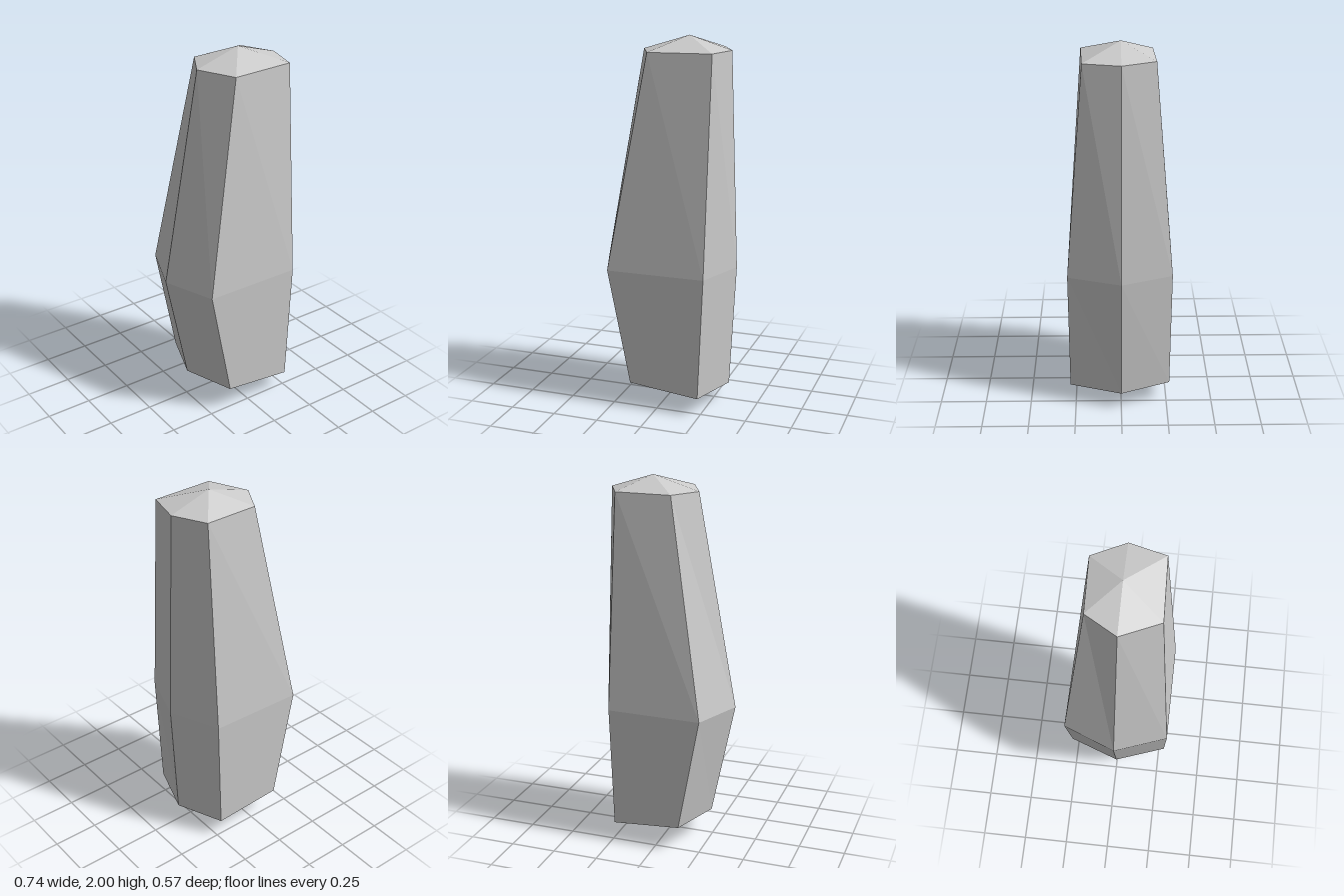
import * as THREE from 'three';

// Six-sided rings, from the left (+x) corner round the front to the back
const bottomRing = [[0.335, 0.097, 0], [0.24, 0.1, 0.28], [-0.143, 0.142, 0.28],
  [-0.243, 0.145, 0], [-0.14, 0.142, -0.28], [0.235, 0.108, -0.267]];
const middleRing = [[0.37, 0.77, 0], [0.27, 0.77, 0.286], [-0.266, 0.77, 0.286],
  [-0.37, 0.77, 0], [-0.256, 0.77, -0.288], [0.257, 0.77, -0.274]];
const topRing = [[0.328, 1.928, 0], [0.28, 1.928, 0.195], [-0.063, 1.925, 0.207],
  [-0.155, 1.923, 0], [-0.058, 1.925, -0.168], [0.24, 1.928, -0.177]];
const bottomTip = [0.037, 0, 0];
const topTip = [0.097, 2, 0];

export function createModel() {
  const positions = [];
  const triangle = (a, b, c) => positions.push(...a, ...b, ...c);

  for (let i = 0; i < 6; i++) {
    const j = (i + 1) % 6;
    // Pointed ends
    triangle(bottomTip, bottomRing[i], bottomRing[j]);
    triangle(topRing[i], topTip, topRing[j]);
    // Long side facets, swelling at the middle ring
    for (const [low, high] of [[bottomRing, middleRing], [middleRing, topRing]]) {
      triangle(low[i], high[i], high[j]);
      triangle(low[i], high[j], low[j]);
    }
  }

  const geometry = new THREE.BufferGeometry();
  geometry.setAttribute('position', new THREE.Float32BufferAttribute(positions, 3));
  geometry.computeVertexNormals();

  const crystal = new THREE.Mesh(geometry,
    new THREE.MeshStandardMaterial({ color: 0xcccccc, flatShading: true }));
  crystal.name = 'crystal';

  const group = new THREE.Group();
  group.name = 'crystalColumn';
  group.add(crystal);
  return group;
}
